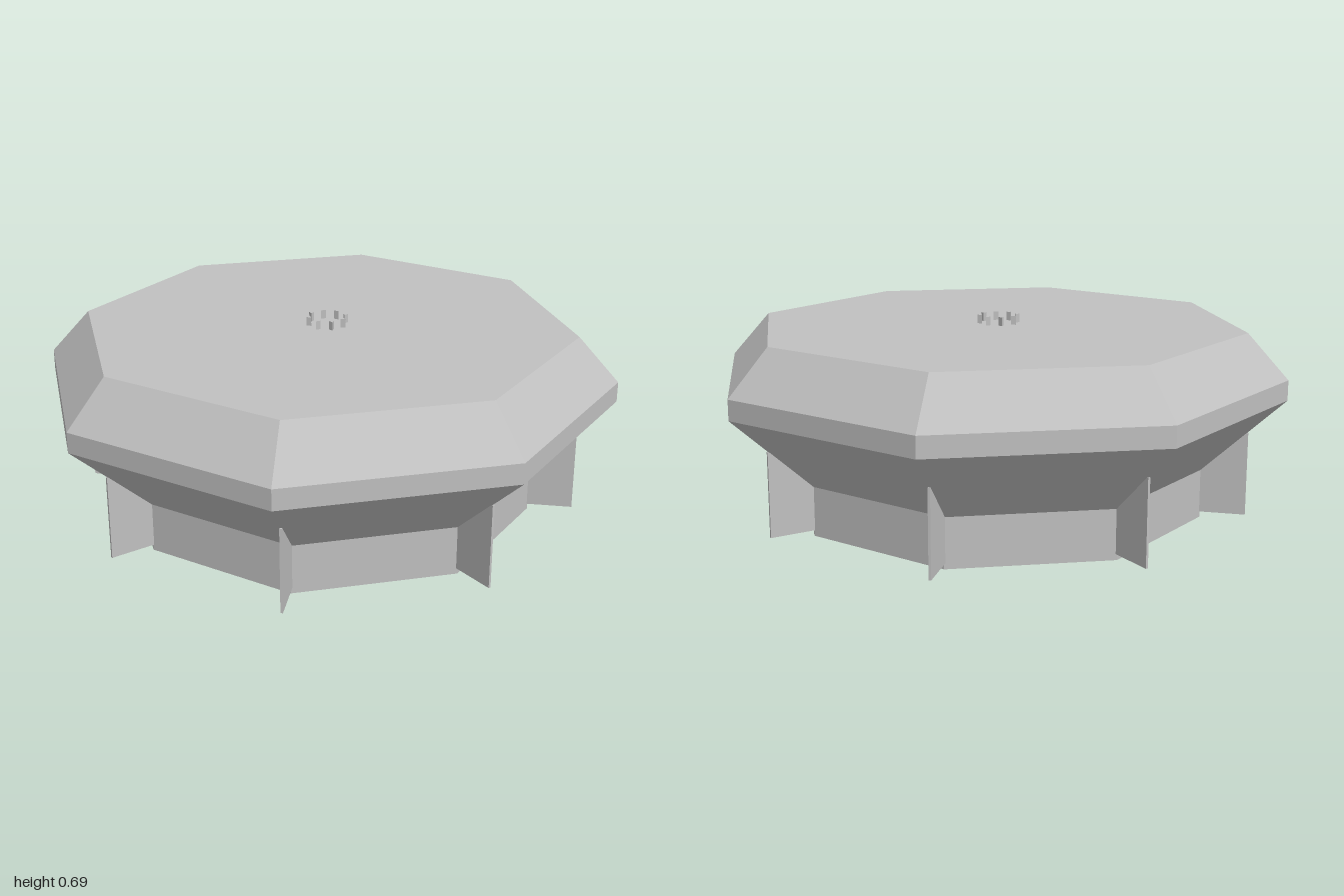
import * as THREE from 'three';

const SIDES = 8;

export function createModel() {
  const model = new THREE.Group();
  const grey = new THREE.MeshStandardMaterial({ color: 0xc0c0c0 });
  grey.name = 'grey';

  // Adds a mesh with crisp facets
  function add(name, geometry, parent = model) {
    const faceted = geometry.index ? geometry.toNonIndexed() : geometry;
    faceted.computeVertexNormals();
    const mesh = new THREE.Mesh(faceted, grey);
    mesh.name = name;
    parent.add(mesh);
    return mesh;
  }

  // Octagonal tiers, each a profile of [radius, height] from bottom to top
  const tiers = {
    base: [[0, 0], [0.72, 0], [0.72, 0.17]],
    flaredUnderside: [[0.72, 0.17], [1, 0.43]],
    rim: [[1, 0.43], [1, 0.5]],
    slopedRoof: [[1, 0.5], [0.86, 0.655]],
    flatTop: [[0.86, 0.655], [0, 0.655]],
  };
  for (const [name, profile] of Object.entries(tiers)) {
    const points = profile.map(([r, y]) => new THREE.Vector2(r, y));
    add(name, new THREE.LatheGeometry(points, SIDES));
  }

  // Thin fins standing out from each corner of the base
  const fins = new THREE.Group();
  fins.name = 'fins';
  model.add(fins);
  // Small three-sided pegs in a ring on the top
  const pegs = new THREE.Group();
  pegs.name = 'pegs';
  model.add(pegs);

  for (let i = 0; i < SIDES; i++) {
    const angle = (i / SIDES) * Math.PI * 2;
    const finShape = new THREE.BoxGeometry(0.008, 0.29, 0.175);
    finShape.translate(0, 0.165, 0.7875);
    add('fin', finShape, fins).rotation.y = angle;

    const pegShape = new THREE.CylinderGeometry(0.01, 0.01, 0.035, 3);
    pegShape.translate(0, 0.6675, 0.064);
    add('peg', pegShape, pegs).rotation.y = angle + Math.PI / SIDES;
  }

  return model;
}
